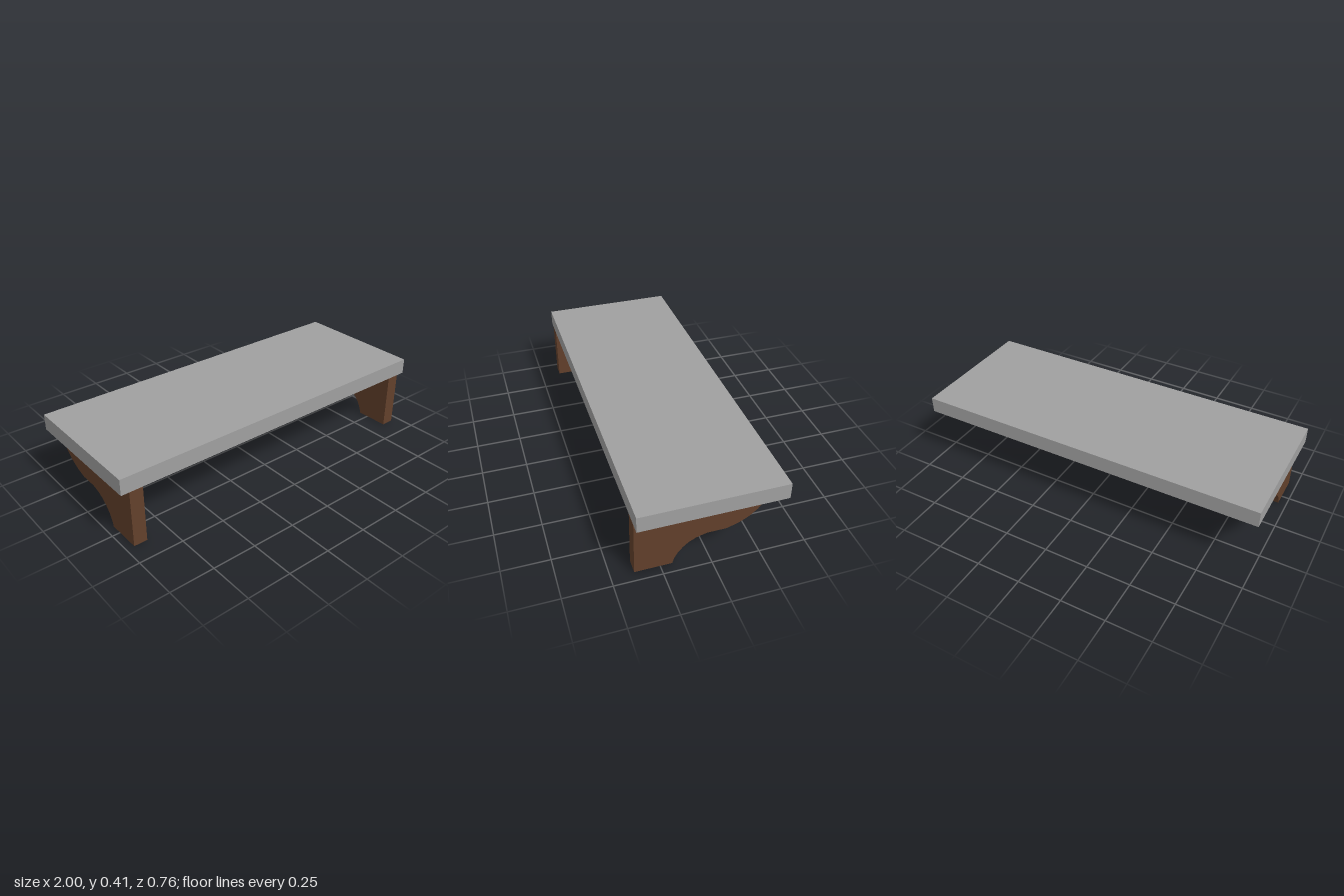
import * as THREE from 'three';

const HALF_DEPTH = 0.382, UNDERSIDE = 0.322, TOP = 0.412, BRACKET_WIDTH = 0.075;

// Side profile of a bracket as [z, y], stepping along its S-curve
const PROFILE = [
  [HALF_DEPTH, 0], [HALF_DEPTH, UNDERSIDE], [-0.3, UNDERSIDE],
  [-0.28, 0.285], [-0.243, 0.241], [-0.198, 0.203], [-0.145, 0.175], [-0.085, 0.157],
  [0.01, 0.157], [0.03, 0.153], [0.07, 0.141], [0.106, 0.122],
  [0.135, 0.097], [0.16, 0.067], [0.18, 0.03], [0.188, 0],
];

export function createModel() {
  const model = new THREE.Group();
  model.name = 'shelf';

  const stone = new THREE.MeshStandardMaterial({ color: 0xa0a0a0, flatShading: true });
  stone.name = 'grey board';
  const wood = new THREE.MeshStandardMaterial({ color: 0x62402b, flatShading: true });
  wood.name = 'brown wood';

  // Flat board
  const board = new THREE.Mesh(new THREE.BoxGeometry(2, TOP - UNDERSIDE, HALF_DEPTH * 2), stone);
  board.name = 'board';
  board.position.y = (TOP + UNDERSIDE) / 2;
  model.add(board);

  // Curved brackets, extruded across their width and turned to run along z
  const shape = new THREE.Shape(PROFILE.map(([z, y]) => new THREE.Vector2(z, y)));
  const bracketGeometry = new THREE.ExtrudeGeometry(shape, { depth: BRACKET_WIDTH, bevelEnabled: false });
  bracketGeometry.translate(0, 0, -BRACKET_WIDTH / 2);
  bracketGeometry.rotateY(-Math.PI / 2);

  for (const [name, x] of [['rightBracket', -0.918], ['leftBracket', 0.91]]) {
    const bracket = new THREE.Mesh(bracketGeometry, wood);
    bracket.name = name;
    bracket.position.x = x;
    model.add(bracket);
  }

  return model;
}
